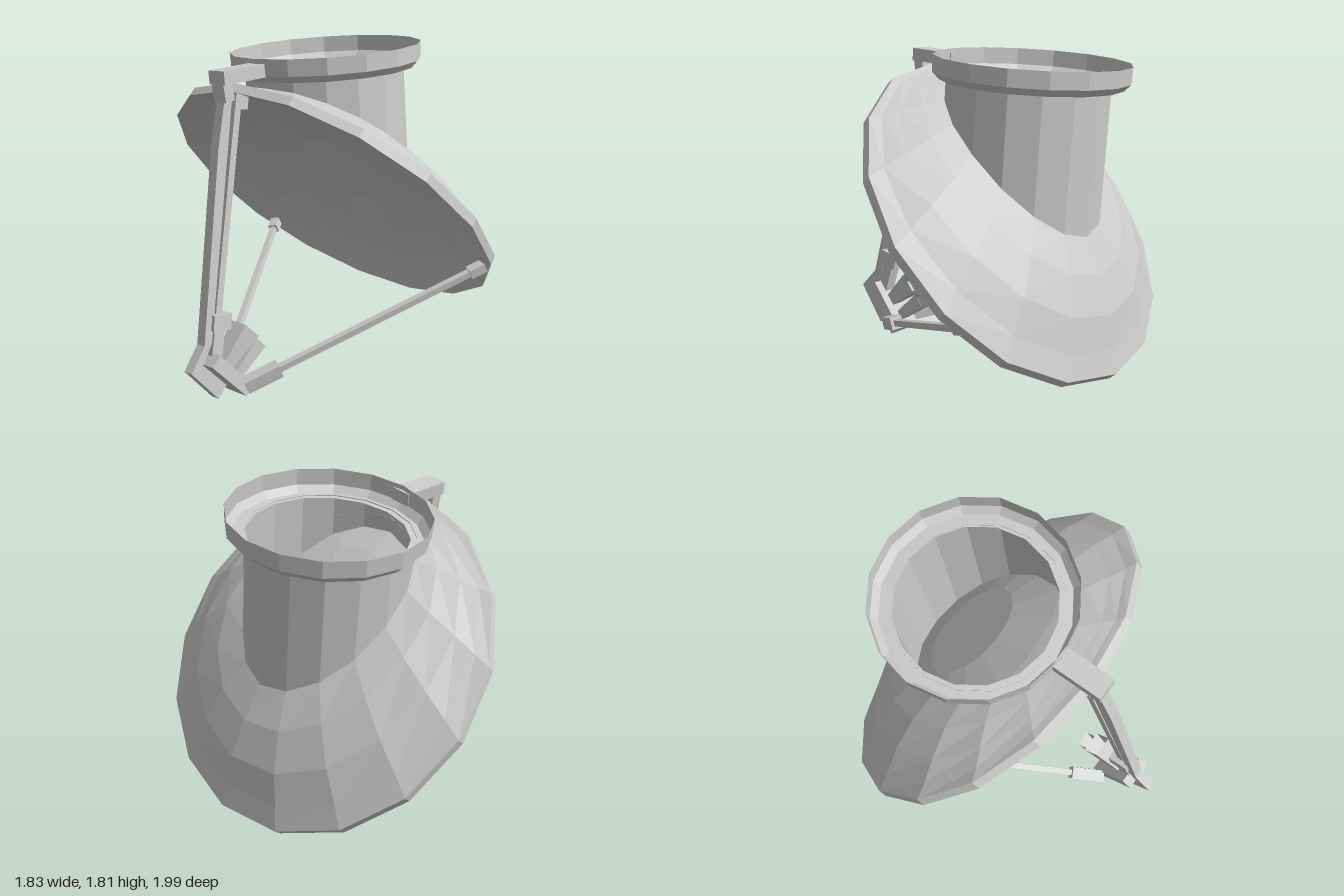
import * as THREE from 'three';

const material = new THREE.MeshStandardMaterial({ color: 0xcccccc, flatShading: true, side: THREE.DoubleSide });
const V = (x, y, z = 0) => new THREE.Vector3(x, y, z);
const P = (x, y) => new THREE.Vector2(x, y);

// Dish frame: centre of the rim plane, and tilt of its axis about z
const CENTRE = V(0.2, 0.905);
const TILT = -0.826;
// Convex back and concave face as [radius, depth]
const BACK = [[0, 0.36], [0.3, 0.345], [0.585, 0.28], [0.76, 0.2], [0.87, 0.125], [0.955, 0.07], [1, 0.052]];
const FACE = [[0, 0.21], [0.3, 0.21], [0.585, 0.155], [0.76, 0.105], [0.87, 0.06], [1, 0]];
const SIDES = 16;
const MAST_X = 0.228, MAST_R = 0.44;

// Depth of a profile at a given radius
function depthAt(profile, r) {
  for (let i = 1; i < profile.length; i++) {
    const [r0, d0] = profile[i - 1], [r1, d1] = profile[i];
    if (r <= r1) return d0 + (d1 - d0) * (r - r0) / (r1 - r0);
  }
  return profile[profile.length - 1][1];
}

const toDish = (p) => p.clone().sub(CENTRE).applyAxisAngle(V(0, 0, 1), -TILT);

// Point where a vertical line meets a dish surface from above
function dropTo(profile, x, z) {
  const p = V(x, 1.7, z);
  for (; p.y > 0.5; p.y -= 0.002) {
    const q = toDish(p);
    if (q.y < depthAt(profile, Math.hypot(q.x, q.z))) break;
  }
  return p;
}

export function createModel() {
  const model = new THREE.Group();
  model.name = 'dishAntenna';
  const body = new THREE.Group();
  body.name = 'antennaBody';
  body.position.y = -0.92;

  const add = (name, geometry) => {
    const mesh = new THREE.Mesh(geometry, material);
    mesh.name = name;
    body.add(mesh);
    return mesh;
  };

  // Local y runs from a to b, local z stays as close to world z as possible
  const align = (mesh, a, b) => {
    const dir = b.clone().sub(a).normalize();
    const side = V(0, 0, 1).addScaledVector(dir, -dir.z).normalize();
    const across = dir.clone().cross(side);
    mesh.quaternion.setFromRotationMatrix(new THREE.Matrix4().makeBasis(across, dir, side));
    mesh.position.copy(a).add(b).multiplyScalar(0.5);
    return mesh;
  };
  const beam = (name, a, b, thick, deep) =>
    align(add(name, new THREE.BoxGeometry(thick, a.distanceTo(b), deep)), a, b);
  const placeDish = (mesh) => {
    mesh.rotation.z = TILT;
    mesh.position.copy(CENTRE);
  };

  // Concave face with the rim wall
  const face = FACE.map(([r, d]) => P(r, d));
  placeDish(add('reflectorFace', new THREE.LatheGeometry([...face, P(1, 0.052)], SIDES)));

  // Back shell, spread from the foot of the mast out to the rim
  const steps = [0, 0.3, 0.6, 0.83, 1];
  const shell = new THREE.PlaneGeometry(1, 1, SIDES, steps.length - 1);
  for (let i = 0; i < shell.attributes.position.count; i++) {
    const phi = (i % (SIDES + 1)) / SIDES * Math.PI * 2;
    const t = steps[Math.floor(i / (SIDES + 1))];
    const sin = Math.sin(phi), cos = Math.cos(phi);
    const q = toDish(dropTo(BACK, MAST_X + MAST_R * sin, MAST_R * cos)).lerp(V(sin, 0, cos), t);
    shell.attributes.position.setXYZ(i, q.x, depthAt(BACK, Math.hypot(q.x, q.z)), q.z);
  }
  shell.computeVertexNormals();
  placeDish(add('reflectorBack', shell));

  // Hollow mast, its lower edge trimmed to the floor of the dish
  const mast = new THREE.LatheGeometry([P(MAST_R, 0), P(MAST_R, 1.655)], SIDES);
  mast.translate(MAST_X, 0, 0);
  const pos = mast.attributes.position;
  for (let i = 0; i < pos.count; i++) {
    if (pos.getY(i) < 0.5) pos.setY(i, dropTo(FACE, pos.getX(i), pos.getZ(i)).y + 0.005);
  }
  add('mastTube', mast);

  // Open collar flaring out from the mast
  const collar = new THREE.LatheGeometry([P(0.42, 1.652), P(0.49, 1.648), P(0.525, 1.685), P(0.528, 1.775)], SIDES);
  collar.translate(0.245, 0, 0);
  add('mastCollar', collar);

  // Bracket from the collar to the feed arm
  beam('collarBracket', V(-0.545, 1.715), V(-0.265, 1.715), 0.07, 0.12);
  beam('bracketDrop', V(-0.505, 1.59), V(-0.515, 1.7), 0.06, 0.09);

  // Bent feed arm
  const outline = new THREE.Shape([
    P(-0.535, 1.59), P(-0.6, 1.36), P(-0.81, 0.36), P(-0.91, 0.24), P(-0.75, 0.04),
    P(-0.69, 0.1), P(-0.83, 0.26), P(-0.76, 0.36), P(-0.47, 1.65),
  ]);
  const arm = new THREE.ExtrudeGeometry(outline, { depth: 0.06, bevelEnabled: false });
  arm.translate(0, 0, -0.03);
  add('feedArm', arm);

  // Upper rod with its rim clamp and lower socket
  beam('upperRod', V(-0.43, 1.58), V(-0.7, 0.45), 0.04, 0.04);
  beam('upperRodClamp', V(-0.415, 1.63), V(-0.435, 1.54), 0.085, 0.085);
  beam('upperRodCollar', V(-0.682, 0.5), V(-0.698, 0.415), 0.12, 0.1);
  beam('upperRodSocket', V(-0.7, 0.43), V(-0.75, 0.23), 0.07, 0.07);

  // Crossbar carrying the feed horns
  beam('feedBar', V(-0.785, 0.28), V(-0.575, 0.04), 0.075, 0.17);

  // Flared square horns with open mouths
  const horn = (name, a, b, throat, mouth) => {
    const g = new THREE.CylinderGeometry(mouth / Math.SQRT2, throat / Math.SQRT2, a.distanceTo(b), 4, 1, true);
    g.rotateY(Math.PI / 4);
    align(add(name, g), a, b);
    const inner = a.clone().lerp(b, 0.7);
    beam(name + 'Throat', inner, inner.clone().lerp(b, 0.1), throat, throat);
  };
  horn('upperFeedHorn', V(-0.7, 0.175), V(-0.505, 0.355), 0.06, 0.125);
  horn('lowerFeedHorn', V(-0.62, 0.1), V(-0.435, 0.26), 0.05, 0.09);

  // Pair of lower struts reaching the inner edge of the rim
  for (const s of [1, -1]) {
    const side = s > 0 ? 'left' : 'right';
    const a = V(-0.62, 0.09, 0.1 * s), b = V(0.54, 0.575, 0.83 * s);
    const at = (t) => a.clone().lerp(b, t);
    beam(side + 'Strut', a, b, 0.035, 0.035);
    beam(side + 'StrutSleeve', at(0), at(0.14), 0.075, 0.07);
    beam(side + 'StrutClamp', at(0.93), at(1), 0.055, 0.055);
  }

  // Whole antenna leans slightly backwards
  const lean = new THREE.Group();
  lean.name = 'leaningAssembly';
  lean.position.y = 0.92;
  lean.rotation.x = -0.095;
  lean.add(body);
  model.add(lean);
  return model;
}
